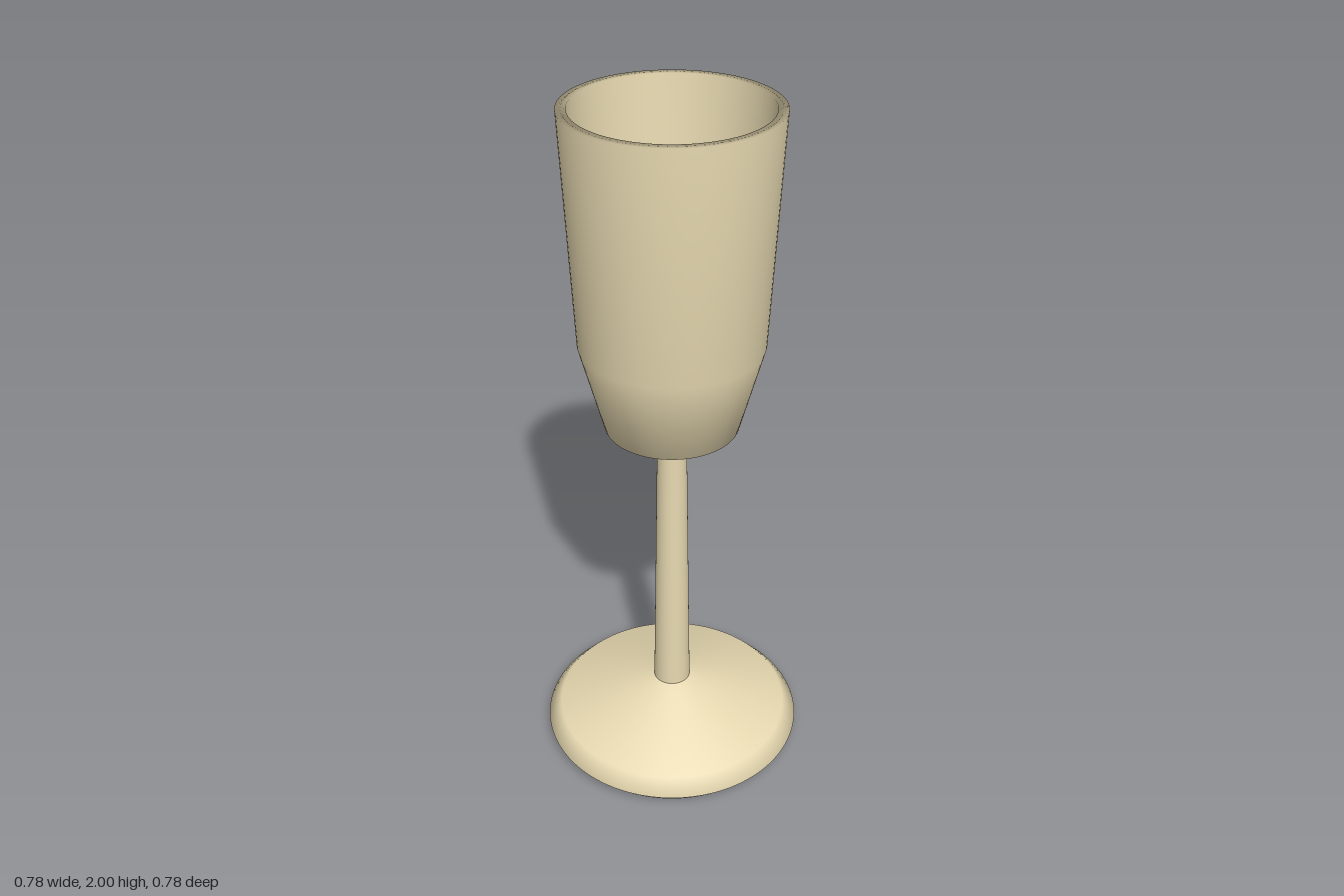
import * as THREE from 'three';

const SEGMENTS = 80;
const material = new THREE.MeshStandardMaterial({ color: 0xe6d8b0 });

// Revolves a [radius, height] profile around the y axis
function turned(name, profile) {
  const points = profile.map(([r, y]) => new THREE.Vector2(r, y));
  const mesh = new THREE.Mesh(new THREE.LatheGeometry(points, SEGMENTS), material);
  mesh.name = name;
  return mesh;
}

export function createModel() {
  const group = new THREE.Group();
  group.name = 'goblet';

  // Foot: flat underside, bevelled edge, shallow cone up to the stem
  group.add(turned('foot', [
    [0, 0.005], [0.35, 0.005], [0.36, 0], [0.39, 0.035], [0.35, 0.08], [0.055, 0.18],
  ]));

  // Stem: slightly tapering column
  group.add(turned('stem', [[0.055, 0.18], [0.042, 1.02]]));

  // Bowl: outer wall, rim, then the inner wall down to a small flat floor
  group.add(turned('bowl', [
    [0.042, 1.02], [0.187, 1.103], [0.254, 1.36], [0.283, 2],
    [0.256, 2], [0.228, 1.37], [0.165, 1.125], [0.05, 1.06], [0.044, 1.04],
  ]));
  group.add(turned('bowlFloor', [[0.044, 1.04], [0, 1.04]]));

  return group;
}
